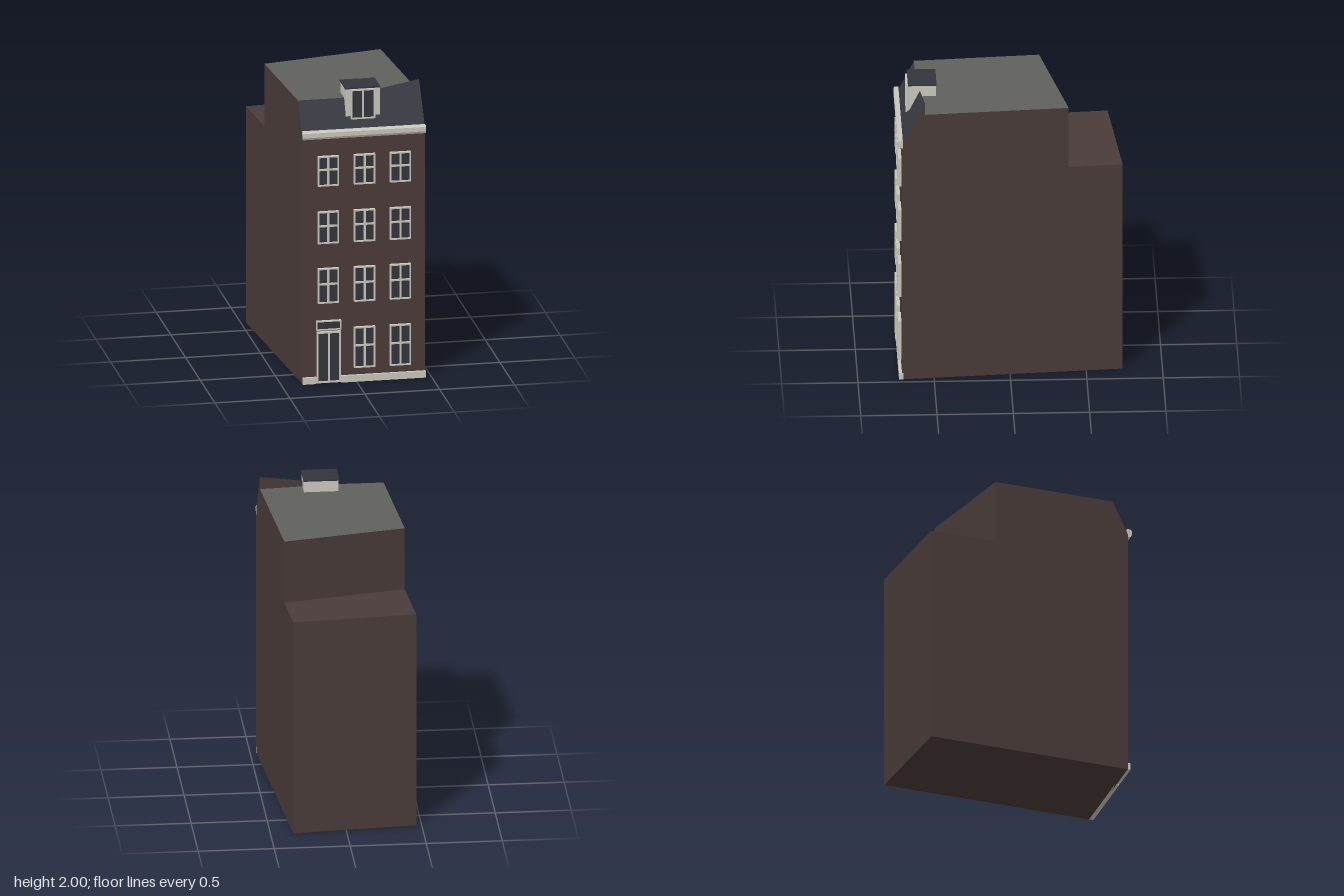
import * as THREE from 'three';

const mat = (name, color) => Object.assign(new THREE.MeshStandardMaterial({ color }), { name });

export function createModel() {
  const model = new THREE.Group();
  model.name = 'townhouse';
  const brick = mat('brick', 0x4a3b39);
  const trim = mat('trim', 0xcac7bc);
  const glass = mat('glass', 0x34353d);
  const slate = mat('slate', 0x383a42);
  const roofing = mat('flatRoofing', 0x60615b);

  const add = (name, geometry, material, parent = model) => {
    const mesh = new THREE.Mesh(geometry, material);
    mesh.name = name;
    parent.add(mesh);
    return mesh;
  };

  // Box given by its limits on each axis
  const box = (name, material, [x0, x1], [y0, y1], [z0, z1], parent) => {
    const g = new THREE.BoxGeometry(x1 - x0, y1 - y0, z1 - z0);
    g.translate((x0 + x1) / 2, (y0 + y1) / 2, (z0 + z1) / 2);
    return add(name, g, material, parent);
  };

  // Flat convex polygons, corners counter-clockwise from outside
  const faces = (name, material, polygons) => {
    const pos = [];
    for (const p of polygons) {
      for (let i = 1; i < p.length - 1; i++) pos.push(...p[0], ...p[i], ...p[i + 1]);
    }
    const g = new THREE.BufferGeometry();
    g.setAttribute('position', new THREE.Float32BufferAttribute(pos, 3));
    g.computeVertexNormals();
    return add(name, g, material);
  };

  // Points on the two slightly skewed party walls
  const L = (y, z) => [-0.36 - (0.71 - z) * 0.0761, y, z];
  const R = (y, z) => [0.46 - (0.71 - z) * 0.0759, y, z];
  const F = 0.71, BL = -0.67, BR = -0.74;   // front and back corners
  const SL = -0.22, SR = -0.385;            // step between main block and rear wing
  const low = 1.485, eave = 1.7, top = 1.915, ridge = 0.6025;
  const kink = [-0.08, top, ridge];         // where the slate edge starts to rise
  const peak = R(2.0, 0.56);

  faces('brickWalls', brick, [
    [L(0, F), R(0, F), R(eave, F), L(eave, F)],
    [R(0, BR), L(0, BL), L(low, BL), R(low, BR)],
    [R(0, F), R(0, BR), R(low, BR), R(low, F)],
    [R(low, F), R(low, SR), R(top, SR), R(top, ridge), R(eave, F)],
    [R(top, ridge), R(top, 0.56), peak],
    [L(0, BL), L(0, F), L(low, F), L(low, BL)],
    [L(low, SL), L(low, F), L(eave, F), L(top, ridge), L(top, SL)],
    [R(low, SR), L(low, SL), L(top, SL), R(top, SR)],
    [R(top, 0.56), kink, peak],
    [L(0, BL), R(0, BR), R(0, F), L(0, F)],
  ]);
  faces('rearWingRoof', brick, [[L(low, SL), R(low, SR), R(low, BR), L(low, BL)]]);
  faces('flatRoof', roofing, [[L(top, SL), L(top, ridge), kink, R(top, 0.56), R(top, SR)]]);
  faces('slateSlope', slate, [[L(eave, F), R(eave, F), peak, kink, L(top, ridge)]]);

  // Cornice with softened front edges
  const profile = [[0.705, 1.68], [0.73, 1.68], [0.738, 1.695], [0.738, 1.725], [0.728, 1.735], [0.705, 1.735]];
  const cornice = new THREE.ExtrudeGeometry(
    new THREE.Shape(profile.map(([z, y]) => new THREE.Vector2(-z, y))), { depth: 0.82, bevelEnabled: false });
  cornice.rotateY(Math.PI / 2).translate(-0.36, 0, 0);
  add('cornice', cornice, trim);

  // Plinth on both sides of the door
  box('plinthLeftOfDoor', trim, [-0.36, -0.268], [0, 0.045], [0.7, 0.73]);
  box('plinthRightOfDoor', trim, [-0.105, 0.46], [0, 0.045], [0.7, 0.73]);

  const rectangle = (C, x0, x1, y0, y1) => new C([[x0, y0], [x1, y0], [x1, y1], [x0, y1]].map(p => new THREE.Vector2(...p)));

  // Glazed opening: one frame with holes for panes, over a thin glass plate
  const glazing = (name, [x0, x1], [y0, y1], [z0, z1], columns, rowSplit, rim = 0.009, bar = 0.012) => {
    const group = new THREE.Group();
    group.name = name;
    const shape = rectangle(THREE.Shape, x0, x1, y0, y1);
    const xm = (x0 + x1) / 2;
    const ym = y0 + (y1 - y0) * rowSplit;
    const xs = columns === 2 ? [[x0 + rim, xm - bar / 2], [xm + bar / 2, x1 - rim]] : [[x0 + rim, x1 - rim]];
    const ys = rowSplit ? [[y0 + rim, ym - bar / 2], [ym + bar / 2, y1 - rim]] : [[y0 + rim, y1 - rim]];
    for (const [a, b] of xs) for (const [c, d] of ys) shape.holes.push(rectangle(THREE.Path, a, b, c, d));
    const frame = new THREE.ExtrudeGeometry(shape, { depth: z1 - z0, bevelEnabled: false });
    frame.translate(0, 0, z0);
    add('frame', frame, trim, group);
    const zg = z0 + (z1 - z0) * 0.55;
    box('pane', glass, [x0 + 0.003, x1 - 0.003], [y0 + 0.003, y1 - 0.003], [zg - 0.008, zg], group);
    model.add(group);
  };

  const depth = [0.708, 0.733];
  const rows = [[0.095, 0.375], [0.55, 0.79], [0.96, 1.18], [1.355, 1.56]];
  rows.forEach((ys, r) => [-0.19, 0.053, 0.292].forEach((x, c) => {
    if (r === 0 && c === 0) return; // the door stands here
    glazing('window', [x - 0.07, x + 0.07], ys, depth, 2, 0.55);
  }));
  glazing('frontDoor', [-0.267, -0.106], [0.005, 0.355], depth, 2, 0, 0.011);
  glazing('doorTransom', [-0.27, -0.104], [0.366, 0.43], depth, 1, 0, 0.007);

  // Dormer
  box('dormerBody', trim, [-0.06, 0.168], [1.8, 1.99], [0.477, 0.658]);
  box('dormerRoof', glass, [-0.064, 0.17], [1.99, 2.0], [0.473, 0.661]);
  glazing('dormerWindow', [-0.028, 0.134], [1.785, 1.988], [0.655, 0.674], 2, 0, 0.009, 0.012);

  return model;
}
